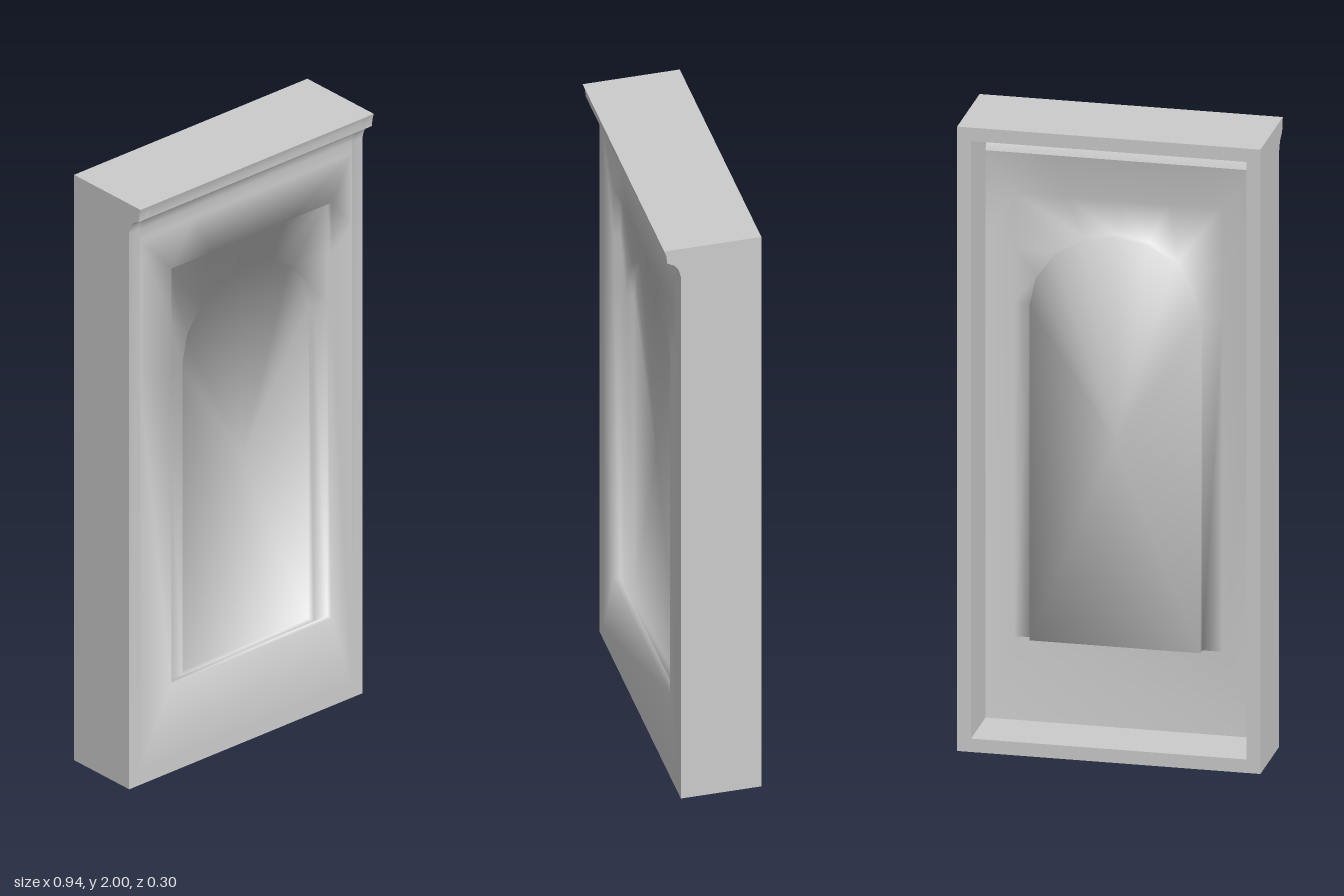
import * as THREE from 'three';
import { toCreasedNormals } from 'three/addons/utils/BufferGeometryUtils.js';

const W = 0.94, WALL = 0.043, PANEL_TOP = 1.86; // casing width, wall thickness, top of panel
const BACK = -0.152, INNER = 0.045, FRONT = 0.1; // casing z levels
const BOTTOM = 0.3, SPRING = 1.37, ARCH_TOP = 1.61, FRAME_TOP = 1.72;
const X0 = -0.3, X1 = 0.345, CX = 0.027, RX = 0.265;

const grey = new THREE.MeshStandardMaterial({ color: 0xcccccc });

// Front edge of the cornice, as [z, y], from the panel up to the top
const cornice = [[FRONT, 1.9], [0.107, 1.925], [0.12, 1.943], [0.143, 1.955], [0.145, 1.98], [0.152, 2]];

function add(group, name, geometry) {
  const mesh = new THREE.Mesh(geometry, grey);
  mesh.name = name;
  group.add(mesh);
}

// Extrude a [z, y] section along x, centred on x = cx
function sweepX(points, width, cx = 0) {
  const shape = new THREE.Shape(points.map(([z, y]) => new THREE.Vector2(z, y)));
  const g = new THREE.ExtrudeGeometry(shape, { depth: width, bevelEnabled: false });
  return toCreasedNormals(g.rotateY(-Math.PI / 2).translate(cx + width / 2, 0, 0), 0.8);
}

// Counter-clockwise loops with matching points: a rectangle and the arch
function rectLoop(x0, x1, y0, y1) {
  const pts = [[x0, y0], [x1, y0]];
  for (let i = 0; i <= 8; i++) {
    const across = THREE.MathUtils.clamp((i - 2) / 4, 0, 1);
    pts.push([x1 + (x0 - x1) * across, SPRING + (y1 - SPRING) * Math.min(i, 8 - i, 2) / 2]);
  }
  return pts;
}

function archLoop() {
  const pts = [[CX - RX, BOTTOM], [CX + RX, BOTTOM]];
  for (let i = 0; i <= 8; i++) {
    const a = (i / 8) * Math.PI;
    pts.push([CX + RX * Math.cos(a), SPRING + (ARCH_TOP - SPRING) * Math.sin(a)]);
  }
  return pts;
}

// Smooth stepped surface through rings of [loop, z], closed in the middle
function relief(rings, facesBack) {
  const pos = [];
  const tri = (a, b, c) => pos.push(...a, ...(facesBack ? c : b), ...(facesBack ? b : c));
  const at = ([loop, z], i) => [...loop[i % loop.length], z];
  const last = rings[rings.length - 1];
  const centre = [CX, (BOTTOM + ARCH_TOP) / 2, last[1]];
  for (let i = 0; i < last[0].length; i++) {
    for (let r = 0; r < rings.length - 1; r++) {
      const a = at(rings[r], i), b = at(rings[r], i + 1);
      const c = at(rings[r + 1], i + 1), d = at(rings[r + 1], i);
      tri(a, b, c);
      tri(a, c, d);
    }
    tri(at(last, i), at(last, i + 1), centre);
  }
  const g = new THREE.BufferGeometry();
  g.setAttribute('position', new THREE.Float32BufferAttribute(pos, 3));
  return toCreasedNormals(g, Math.PI);
}

export function createModel() {
  const group = new THREE.Group();
  const innerW = W - 2 * WALL;

  // Side walls carry the full side outline
  for (const side of [-1, 1]) {
    const outline = [[BACK, 0], [FRONT, 0], ...cornice, [BACK, 2]];
    add(group, side > 0 ? 'leftWall' : 'rightWall', sweepX(outline, WALL, side * (W - WALL) / 2));
  }

  // Header with the cornice, hollow behind
  add(group, 'corniceHeader', sweepX([
    [INNER, PANEL_TOP], [FRONT, PANEL_TOP], ...cornice, [BACK, 2],
    [BACK, 1.957], [0.1, 1.957], [0.085, 1.925], [0.06, 1.9],
  ], innerW));

  // Floor of the casing
  add(group, 'floor', sweepX([[BACK, 0], [FRONT, 0], [FRONT, WALL], [BACK, WALL]], innerW));

  // Front panel stepping in to a rectangular frame, then to the arch
  const edge = rectLoop(-innerW / 2, innerW / 2, WALL, PANEL_TOP);
  const frame = rectLoop(X0, X1, BOTTOM, FRAME_TOP);
  const arch = archLoop();
  add(group, 'panelFront', relief(
    [[edge, FRONT], [frame, FRONT], [frame, 0.08], [arch, 0.08], [arch, 0.055]], false));

  // Rear of the panel, thinning towards the frame, with the arch standing out
  add(group, 'panelBack', relief(
    [[edge, INNER], [frame, 0.075], [arch, 0.075], [arch, 0.047]], true));

  return group;
}
